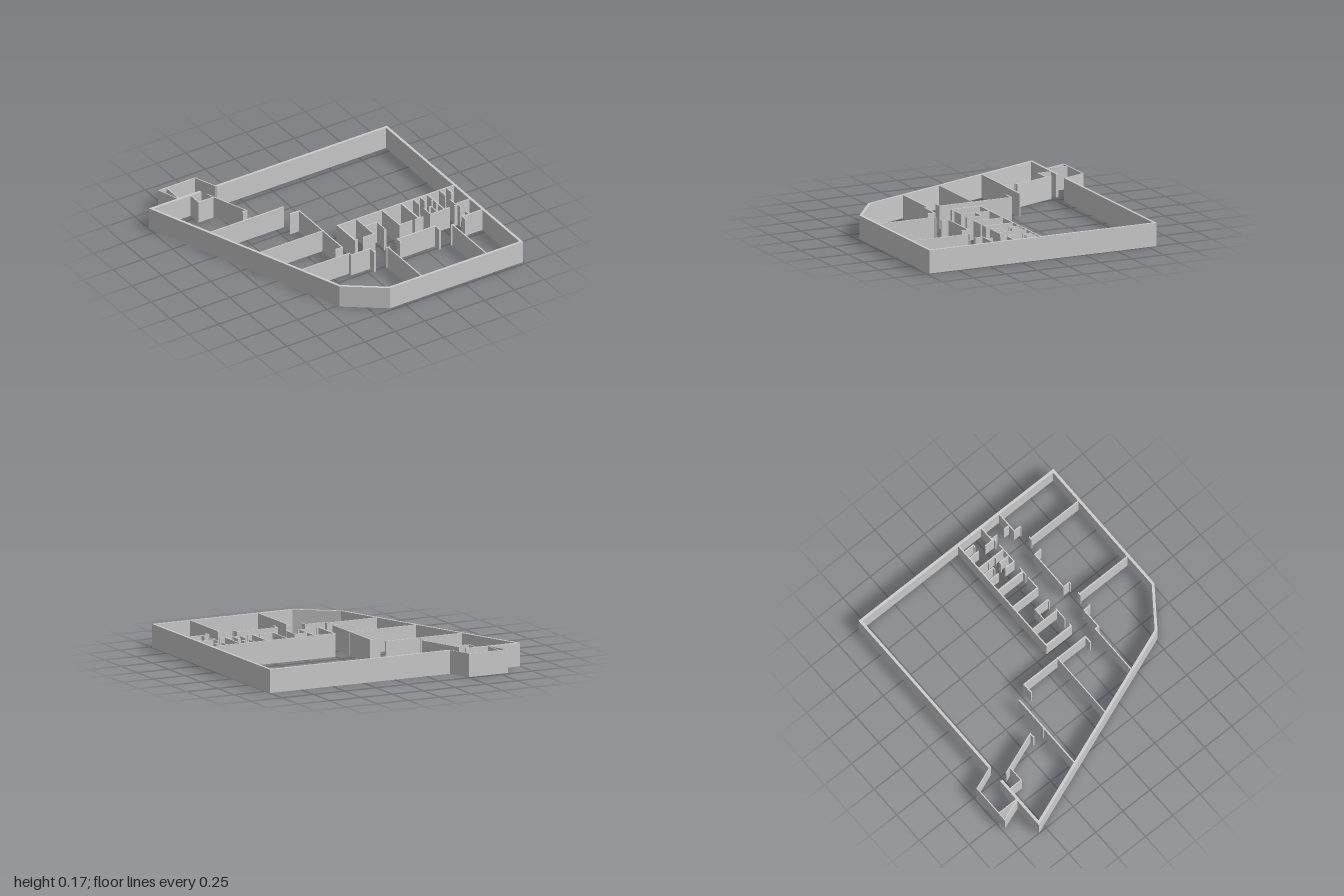
import * as THREE from 'three';

const H = 0.17;      // wall height
const THICK = 0.02;  // outer walls
const MID = 0.013;   // main partitions
const THIN = 0.008;  // light partitions
const material = new THREE.MeshStandardMaterial({ color: 0xcccccc });

// Upright wall of constant thickness along a plan path of [x, z] points, mitred at the corners
function wall(parent, name, path, thickness = THIN) {
  const pts = path.map(([x, z]) => new THREE.Vector2(x, -z));
  const normal = (a, b) => new THREE.Vector2(a.y - b.y, b.x - a.x).normalize();
  const left = [], right = [];
  pts.forEach((p, i) => {
    const n1 = normal(pts[Math.max(i - 1, 0)], pts[Math.max(i, 1)]);
    const last = pts.length - 1;
    const n2 = normal(pts[Math.min(i, last - 1)], pts[Math.min(i + 1, last)]);
    const m = n1.clone().add(n2).normalize();
    m.multiplyScalar(thickness / 2 / m.dot(n1));
    left.push(p.clone().add(m));
    right.unshift(p.clone().sub(m));
  });
  const geometry = new THREE.ExtrudeGeometry(new THREE.Shape([...left, ...right]), { depth: H, bevelEnabled: false });
  geometry.rotateX(-Math.PI / 2);
  const mesh = new THREE.Mesh(geometry, material);
  mesh.name = name;
  parent.add(mesh);
}

// Toilet with an oval bowl, facing +z (dir = 1) or -z (dir = -1)
function toilet(x, z, dir) {
  const group = new THREE.Group();
  group.name = 'toilet';
  const profile = [[0, 0], [0.006, 0], [0.005, 0.012], [0.01, 0.026], [0.011, 0.032], [0.008, 0.032], [0.004, 0.022], [0, 0.02]];
  const bowl = new THREE.Mesh(new THREE.LatheGeometry(profile.map(p => new THREE.Vector2(...p)), 16), material);
  bowl.scale.z = 1.4;
  bowl.name = 'toiletBowl';
  const tank = new THREE.Mesh(new THREE.BoxGeometry(0.016, 0.026, 0.007), material);
  tank.position.set(0, 0.035, -0.015);
  tank.name = 'toiletTank';
  group.add(bowl, tank);
  group.position.set(x, 0, z);
  if (dir < 0) group.rotation.y = Math.PI;
  return group;
}

export function createModel() {
  const model = new THREE.Group();
  model.name = 'floorPlan';
  const section = (name) => {
    const g = new THREE.Group();
    g.name = name;
    model.add(g);
    return g;
  };

  // Outer shell, open at the back entrance
  wall(model, 'outerWall', [[-0.442, -0.805], [0.99, -0.805], [0.99, 0.967], [-0.117, 0.967],
    [-0.4, 0.76], [-0.985, -0.805], [-0.57, -0.805]], THICK);

  // Entrance porch and lobby
  const entrance = section('entrance');
  wall(entrance, 'porchWall', [[-0.754, -0.808], [-0.813, -0.975], [-0.508, -0.975], [-0.444, -0.805]]);
  wall(entrance, 'porchPartition', [[-0.749, -0.975], [-0.749, -0.805]]);
  wall(entrance, 'lobbyCloset', [[-0.658, -0.8], [-0.658, -0.695], [-0.535, -0.695]]);
  wall(entrance, 'lobbyWall', [[-0.551, -0.747], [-0.43, -0.422], [-0.462, -0.422], [-0.462, -0.412]]);

  // Rooms along the slanted side
  const side = section('sideRooms');
  wall(side, 'sideWallBack', [[-0.797, -0.32], [-0.184, -0.32]], 0.011);
  wall(side, 'doorStop', [[-0.462, -0.333], [-0.462, -0.32]]);
  wall(side, 'sideWallMiddle', [[-0.645, 0.09], [-0.108, 0.09]]);
  wall(side, 'corridorWall', [[-0.197, -0.218], [-0.117, -0.218], [-0.117, 0.345], [-0.174, 0.345]], 0.01);
  wall(side, 'sideWallFront', [[-0.513, 0.437], [-0.117, 0.437], [-0.117, 0.465], [0.043, 0.465],
    [0.043, 0.518], [0.056, 0.518]], 0.009);

  // Front rooms with recessed doorways
  const front = section('frontRooms');
  wall(front, 'doorwayWall', [[0.257, 0.518], [0.27, 0.518], [0.27, 0.465], [0.588, 0.465], [0.588, 0.518], [0.6, 0.518]], 0.009);
  wall(front, 'doorwayWallEnd', [[0.803, 0.518], [0.816, 0.518], [0.816, 0.465], [0.982, 0.465]], 0.009);
  for (const x of [0.157, 0.7]) {
    wall(front, 'dividingWall', [[x, 0.518], [x, 0.96]], 0.01);
    wall(front, 'doorJamb', [[x - 0.016, 0.518], [x + 0.016, 0.518]]);
  }

  // Middle row of offices
  const offices = section('offices');
  wall(offices, 'hallWall', [[0.003, 0.09], [0.982, 0.09]], 0.01);
  for (const [x, t] of [[0.01, MID], [0.165, THIN], [0.382, 0.01], [0.543, MID], [0.759, 0.01]]) {
    wall(offices, 'officeWall', [[x, 0.09], [x, 0.32]], t);
  }
  for (const [a, b] of [[0.005, 0.032], [0.075, 0.18], [0.25, 0.271], [0.378, 0.487], [0.51, 0.58], [0.64, 0.803], [0.84, 0.872]]) {
    wall(offices, 'officeFrontWall', [[a, 0.318], [b, 0.318]]);
  }
  wall(offices, 'closetWall', [[0.165, 0.203], [0.267, 0.203], [0.267, 0.32]]);

  // Washrooms: cubicle partitions with short door stubs
  const washrooms = section('washrooms');
  for (const x of [0.642, 0.7, 0.861, 0.92]) {
    wall(washrooms, 'cubicleWall', [[x, 0.09], [x, 0.175]]);
    if (x < 0.9) wall(washrooms, 'cubicleWall', [[x, 0.235], [x, 0.32]]);
  }
  for (const [x, z] of [[0.692, 0.175], [0.75, 0.175], [0.692, 0.235], [0.75, 0.235], [0.912, 0.175]]) {
    wall(washrooms, 'cubicleStub', [[x - 0.011, z], [x + 0.011, z]]);
  }
  wall(washrooms, 'accessibleRoomWall', [[0.982, 0.3], [0.872, 0.3], [0.872, 0.355]]);
  wall(washrooms, 'accessibleRoomJamb', [[0.872, 0.415], [0.872, 0.465]]);
  for (const [x, z, dir] of [[0.678, 0.113, 1], [0.732, 0.113, 1], [0.892, 0.113, 1], [0.946, 0.113, 1],
    [0.682, 0.29, -1], [0.735, 0.29, -1], [0.926, 0.33, 1]]) {
    washrooms.add(toilet(x, z, dir));
  }
  return model;
}
